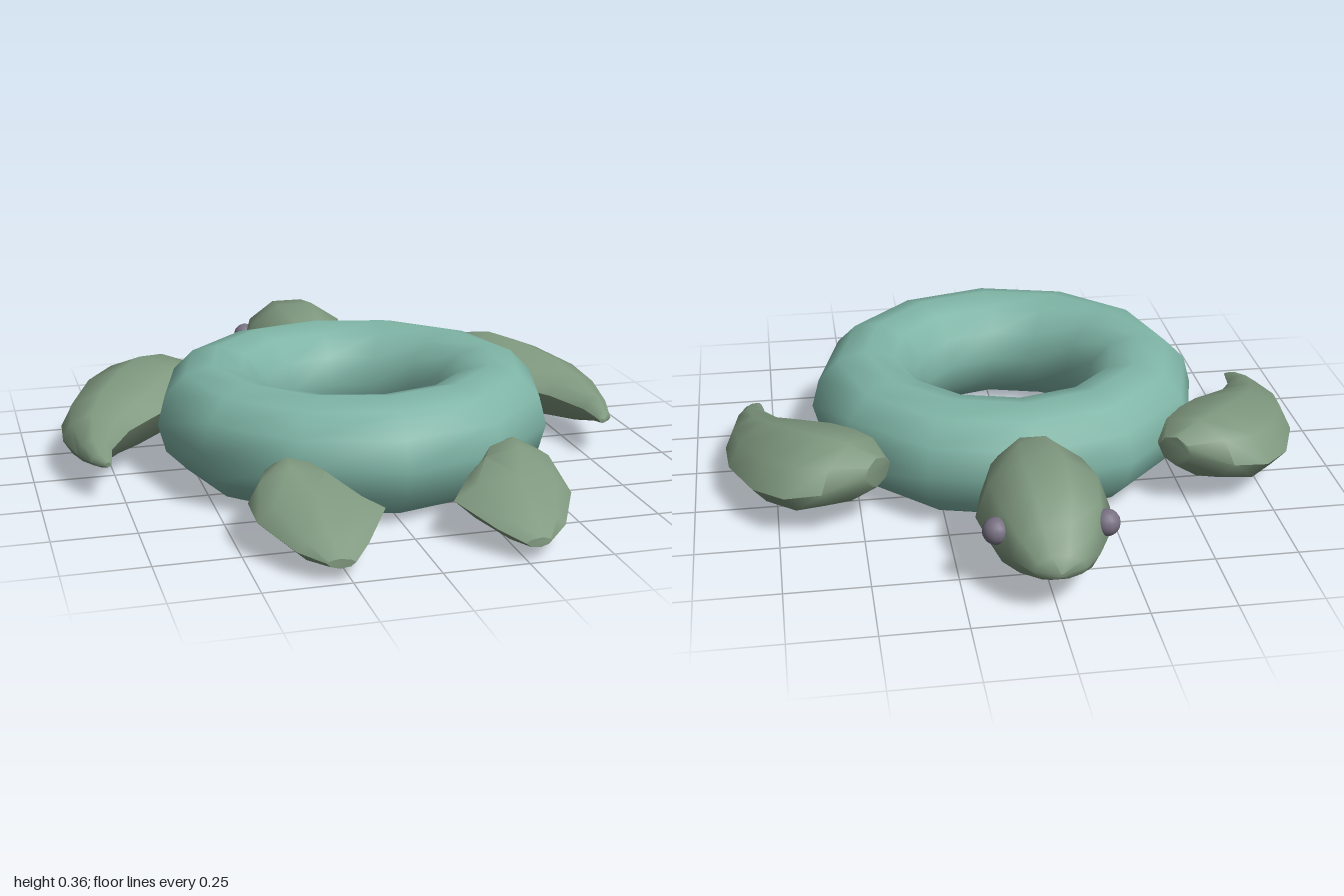
import * as THREE from 'three';
import { toCreasedNormals } from 'three/addons/utils/BufferGeometryUtils.js';

// Cross-section: [position from outer to inner edge, bulge toward top (+) or bottom (-)]
const PROFILE = [[0, 0], [0.13, 0.62], [0.45, 1], [0.82, 0.7], [1, 0], [0.82, -0.7], [0.45, -1], [0.13, -0.62]];
const HEAD_PROFILE = [0, 1, 2, 3, 4, 5, 6, 7, 8, 9].map((i) => {
  const a = (i / 10) * Math.PI * 2;
  return [0.5 - 0.5 * Math.cos(a), Math.sin(a) / Math.sin(Math.PI * 0.4)];
});

// Loft through stations: [outerX, outerZ, outerY, innerX, innerZ, innerY, topY, bottomY]
function loft(stations, profile, side = 1, crease = 0.95) {
  const n = profile.length;
  const points = [];
  const index = [];
  for (const [ox, oz, oy, ix, iz, iy, top, bottom] of stations) {
    for (const [t, bulge] of profile) {
      const edge = oy + (iy - oy) * t;
      const y = edge + (bulge > 0 ? top - edge : edge - bottom) * bulge;
      points.push(new THREE.Vector3(side * (ox + (ix - ox) * t), y, oz + (iz - oz) * t));
    }
  }
  for (let s = 0; s < stations.length - 1; s++) {
    for (let i = 0; i < n; i++) {
      const a = s * n + i;
      const b = s * n + ((i + 1) % n);
      index.push(a, b, a + n, b, b + n, a + n);
    }
  }
  // End caps
  const last = (stations.length - 1) * n;
  for (let i = 1; i < n - 1; i++) {
    index.push(0, i + 1, i, last, last + i, last + i + 1);
  }
  // Turn all faces outward
  let volume = 0;
  for (let i = 0; i < index.length; i += 3) {
    const [a, b, c] = [points[index[i]], points[index[i + 1]], points[index[i + 2]]];
    volume += a.dot(b.clone().cross(c));
  }
  if (volume < 0) index.reverse();
  const geometry = new THREE.BufferGeometry().setFromPoints(points);
  geometry.setIndex(index);
  return toCreasedNormals(geometry, crease);
}

export function createModel() {
  const model = new THREE.Group();
  const material = (name, color) => new THREE.MeshStandardMaterial({ name, color });
  const teal = material('tealRing', 0x7fb5a6);
  const green = material('greenSkin', 0x7f987f);
  const grey = material('greyEye', 0x787082);

  const add = (name, geometry, mat) => {
    const mesh = new THREE.Mesh(geometry, mat);
    mesh.name = name;
    model.add(mesh);
    return mesh;
  };

  // Inflated ring body
  const ring = new THREE.TorusGeometry(0.442, 0.178, 12, 12);
  ring.rotateX(-Math.PI / 2);
  add('ringBody', ring, teal).position.set(0, 0.178, 0.072);

  // Head: [z, half width, middle y, top y, bottom y], neck to nose
  const head = [
    [-0.5, 0.125, 0.17, 0.31, 0.06],
    [-0.57, 0.165, 0.17, 0.327, 0.043],
    [-0.69, 0.195, 0.165, 0.335, 0.036],
    [-0.82, 0.17, 0.16, 0.318, 0.05],
    [-0.91, 0.125, 0.152, 0.25, 0.08],
    [-0.97, 0.075, 0.146, 0.185, 0.115],
    [-1, 0.006, 0.145, 0.15, 0.14],
  ].map(([z, w, mid, top, bottom]) => [w, z, mid, -w, z, mid, top, bottom]);
  add('head', loft(head, HEAD_PROFILE, 1, 1.05), green);

  // Swept front flippers, root to tip
  const frontFlipper = [
    [0.49, -0.465, 0.19, 0.41, -0.38, 0.19, 0.235, 0.14],
    [0.62, -0.49, 0.16, 0.42, -0.27, 0.19, 0.272, 0.08],
    [0.73, -0.47, 0.145, 0.46, -0.2, 0.185, 0.28, 0.045],
    [0.82, -0.37, 0.13, 0.52, -0.13, 0.175, 0.265, 0.03],
    [0.89, -0.19, 0.115, 0.61, -0.065, 0.16, 0.235, 0.028],
    [0.9, -0.05, 0.11, 0.7, 0.01, 0.145, 0.2, 0.042],
    [0.87, 0.1, 0.11, 0.77, 0.13, 0.13, 0.165, 0.08],
    [0.84, 0.19, 0.115, 0.78, 0.2, 0.125, 0.14, 0.1],
    [0.805, 0.228, 0.118, 0.785, 0.228, 0.12, 0.125, 0.11],
  ];

  // Paddle-shaped rear flippers, root to tip
  const rearFlipper = [
    [0.37, 0.545, 0.17, 0.29, 0.57, 0.17, 0.205, 0.14],
    [0.425, 0.61, 0.145, 0.235, 0.61, 0.155, 0.23, 0.1],
    [0.465, 0.67, 0.125, 0.19, 0.66, 0.145, 0.22, 0.07],
    [0.46, 0.775, 0.105, 0.1, 0.79, 0.12, 0.175, 0.038],
    [0.385, 0.92, 0.07, 0.185, 0.92, 0.075, 0.11, 0.03],
    [0.32, 0.985, 0.057, 0.24, 0.993, 0.057, 0.068, 0.04],
  ];

  for (const [label, side] of [['left', 1], ['right', -1]]) {
    add(label + 'FrontFlipper', loft(frontFlipper, PROFILE, side), green);
    add(label + 'RearFlipper', loft(rearFlipper, PROFILE, side), green);
    add(label + 'Eye', new THREE.SphereGeometry(0.039, 14, 10), grey).position.set(side * 0.156, 0.198, -0.828);
  }
  return model;
}
